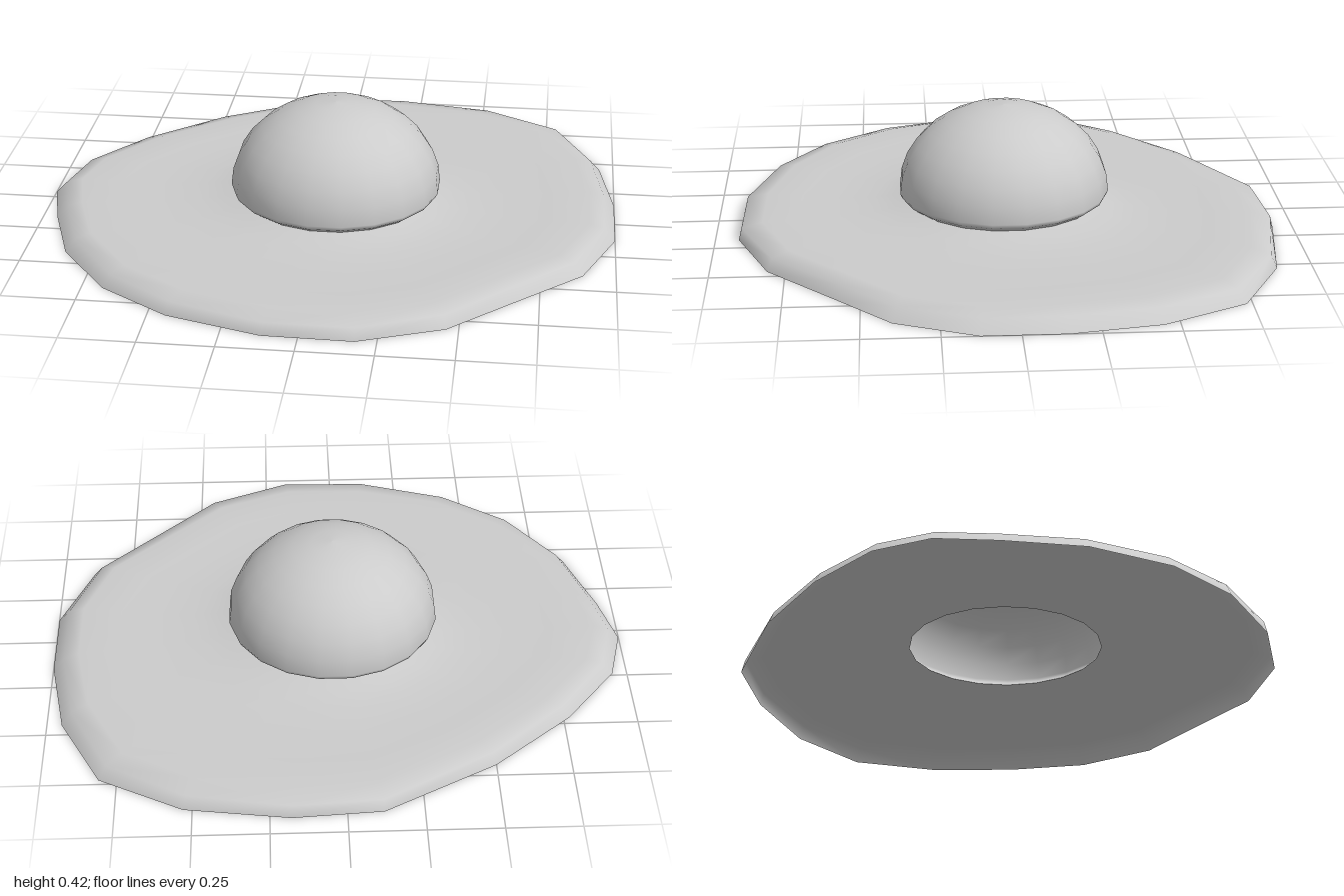
import * as THREE from 'three';

const SIDES = 20, CX = 0.02, NECK = 0.335;
const material = () => new THREE.MeshStandardMaterial({ color: 0xcccccc, side: THREE.DoubleSide });

// Irregular rim of the egg white as x, z pairs, one per side
const RIM = [
  [1, 0.13], [0.89, 0.4], [0.7, 0.58], [0.46, 0.81], [0.18, 0.92],
  [-0.12, 0.915], [-0.44, 0.82], [-0.68, 0.66], [-0.86, 0.42], [-0.95, 0.16],
  [-1, -0.04], [-0.95, -0.24], [-0.77, -0.47], [-0.5, -0.7], [-0.12, -0.91],
  [0.18, -0.93], [0.53, -0.88], [0.81, -0.73], [0.95, -0.45], [1, -0.15],
];

// Rings from the rim (t = 1) to the neck under the yolk (t = 0): [t, height]
const RINGS = [[1, 0], [0.965, 0.043], [0.86, 0.058], [0.65, 0.054], [0.42, 0.053], [0.22, 0.058], [0.09, 0.07], [0, 0.082]];

function eggWhiteGeometry() {
  const positions = [], index = [];
  RINGS.forEach(([t, y], j) => {
    for (let i = 0; i < SIDES; i++) {
      const a = ((i + 0.5) / SIDES) * Math.PI * 2;
      // the edge is steeper at the front and back than at the sides
      const s = j === 1 ? 0.99 - 0.05 * Math.abs(Math.cos(a)) : t;
      positions.push(
        THREE.MathUtils.lerp(CX + NECK * Math.cos(a), RIM[i][0], s),
        y,
        THREE.MathUtils.lerp(NECK * Math.sin(a), RIM[i][1], s));
      if (j === 0) continue;
      const n = (i + 1) % SIDES, o = (j - 1) * SIDES, k = j * SIDES;
      index.push(o + i, k + i, o + n, o + n, k + i, k + n);
    }
  });
  const g = new THREE.BufferGeometry();
  g.setAttribute('position', new THREE.Float32BufferAttribute(positions, 3));
  g.setIndex(index);
  g.computeVertexNormals();
  return g;
}

// Hollow dome with a pinched neck
function yolkGeometry() {
  const profile = [new THREE.Vector2(NECK, 0.082), new THREE.Vector2(0.36, 0.1)];
  const steps = 8;
  for (let i = 0; i <= steps; i++) {
    const a = (i / steps) * Math.PI / 2;
    profile.push(new THREE.Vector2(i === steps ? 0 : 0.367 * Math.cos(a), 0.115 + 0.305 * Math.sin(a)));
  }
  return new THREE.LatheGeometry(profile, SIDES, Math.PI / SIDES);
}

export function createModel() {
  const group = new THREE.Group();
  group.name = 'friedEgg';

  const white = new THREE.Mesh(eggWhiteGeometry(), material());
  white.name = 'eggWhite';

  const yolk = new THREE.Mesh(yolkGeometry(), material());
  yolk.name = 'yolk';
  yolk.position.x = CX;

  group.add(white, yolk);
  return group;
}
